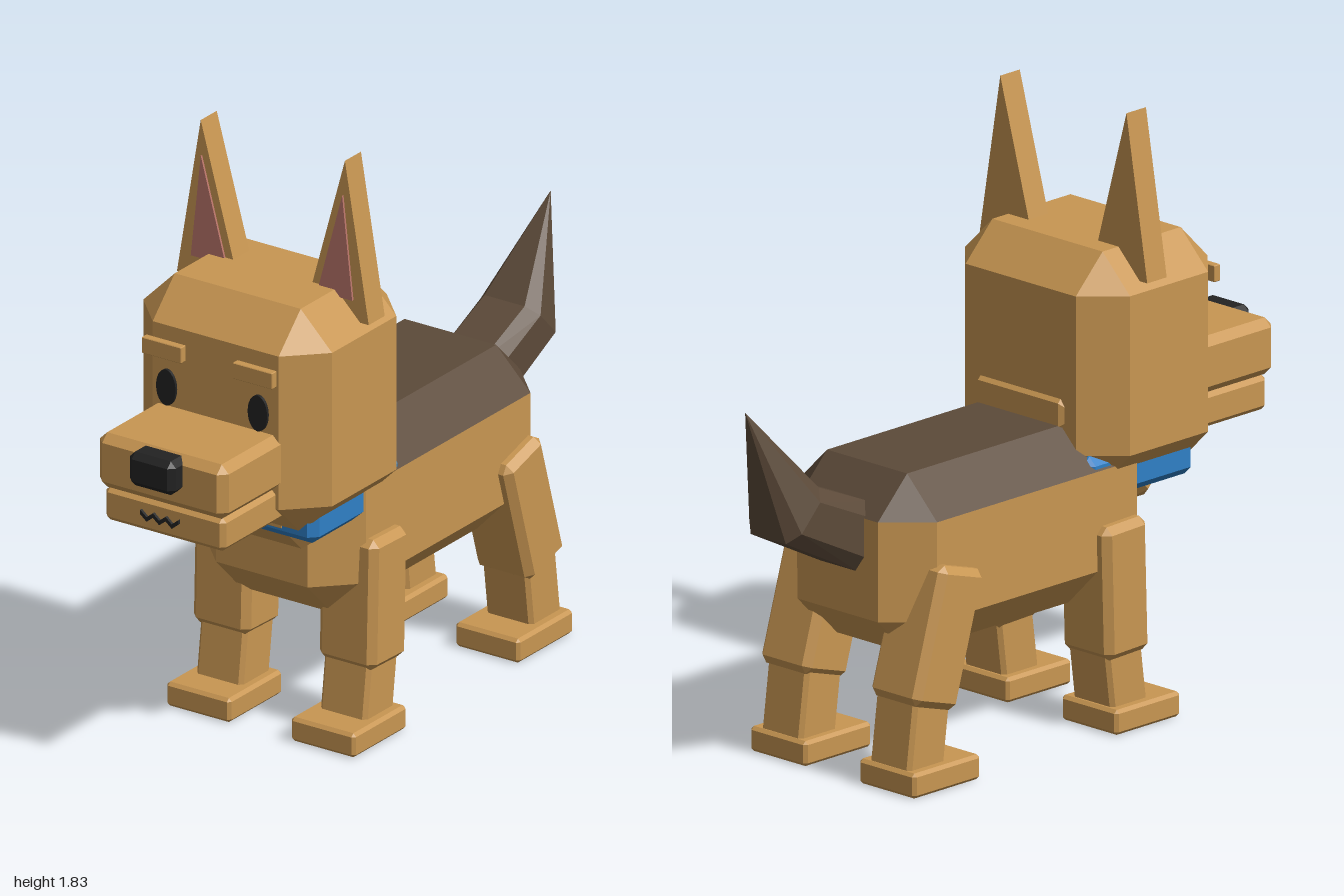
import * as THREE from 'three';
import { ConvexGeometry } from 'three/addons/geometries/ConvexGeometry.js';

const paint = (name, color, side = THREE.FrontSide) => {
  const m = new THREE.MeshStandardMaterial({ color, side });
  m.name = name;
  return m;
};

// Corner points of a box with every edge chamfered by c
function chamferPoints(w, h, d, c) {
  const pts = [];
  const [x, y, z] = [w / 2, h / 2, d / 2];
  for (const i of [-1, 1]) for (const j of [-1, 1]) for (const k of [-1, 1]) {
    pts.push(
      new THREE.Vector3(i * x, j * (y - c), k * (z - c)),
      new THREE.Vector3(i * (x - c), j * y, k * (z - c)),
      new THREE.Vector3(i * (x - c), j * (y - c), k * z));
  }
  return pts;
}

export function createModel() {
  const dog = new THREE.Group();
  dog.name = 'dog';
  const fur = paint('tanFur', 0xc89652);
  const saddle = paint('darkBrownFur', 0x5c4a39);
  const blue = paint('collarBlue', 0x2f80c6);
  const pink = paint('innerEarPink', 0xbb766b);
  const black = paint('black', 0x222222);

  const add = (name, geometry, material, x = 0, y = 0, z = 0, tilt = 0) => {
    const mesh = new THREE.Mesh(geometry, material);
    mesh.name = name;
    mesh.position.set(x, y, z);
    mesh.rotation.x = tilt;
    dog.add(mesh);
    return mesh;
  };
  // Chamfered block given by its ranges in x, y and z
  const block = (name, mat, [x0, x1], [y0, y1], [z0, z1], c, tilt = 0) =>
    add(name, new ConvexGeometry(chamferPoints(x1 - x0, y1 - y0, z1 - z0, c)), mat,
      (x0 + x1) / 2, (y0 + y1) / 2, (z0 + z1) / 2, tilt);

  // Body: tan below, dark saddle on the sloped top
  const bodyPts = chamferPoints(0.56, 0.54, 1.06, 0.12);
  const waist = 0.27 - 0.12;
  add('body', new ConvexGeometry(bodyPts.filter(p => p.y < waist + 0.001)), fur, 0, 0.64, -0.09);
  add('saddle', new ConvexGeometry(bodyPts.filter(p => p.y > waist - 0.001)), saddle, 0, 0.64, -0.09);

  // Neck and collar
  add('neck', new ConvexGeometry(chamferPoints(0.42, 0.24, 0.5, 0.05)), fur, 0, 0.85, 0.345, Math.PI / 4);
  block('collar', blue, [-0.275, 0.275], [0.69, 0.83], [0.13, 0.57], 0.025);

  // Head
  block('head', fur, [-0.33, 0.33], [0.72, 1.42], [0.13, 0.67], 0.11);
  block('snout', fur, [-0.225, 0.225], [0.89, 1.06], [0.55, 0.95], 0.025);
  block('jaw', fur, [-0.21, 0.21], [0.785, 0.89], [0.55, 0.93], 0.015);
  block('nose', black, [-0.08, 0.08], [0.95, 1.055], [0.91, 1], 0.018);

  // Mouth: thin zigzag ribbon
  const upper = [], lower = [];
  for (let i = 0; i <= 6; i++) {
    const x = -0.066 + i * 0.022;
    const y = i % 2 ? 0.836 : 0.854;
    upper.push(new THREE.Vector2(x, y + 0.007));
    lower.unshift(new THREE.Vector2(x, y - 0.007));
  }
  add('mouth', new THREE.ExtrudeGeometry(new THREE.Shape([...upper, ...lower]),
    { depth: 0.009, bevelEnabled: false }), black, 0, 0, 0.943);

  const prism = (points, depth) => new THREE.ExtrudeGeometry(
    new THREE.Shape(points.map(p => new THREE.Vector2(...p))), { depth, bevelEnabled: false });

  for (const s of [1, -1]) {
    const side = s > 0 ? 'left' : 'right';
    const span = (a, b) => (s > 0 ? [a, b] : [-b, -a]);
    const mirror = pts => pts.map(([x, y]) => [x * s, y]);

    // Eyes and brows
    const eye = new THREE.CylinderGeometry(1, 1, 0.009, 24);
    eye.rotateX(Math.PI / 2);
    eye.scale(0.034, 0.056, 1);
    add(side + 'Eye', eye, black, s * 0.16, 1.125, 0.686);
    block(side + 'Brow', fur, span(0.09, 0.228), [1.225, 1.275], [0.69, 0.715], 0.002);

    // Ears with pink inner plates
    add(side + 'Ear', prism(mirror([[0.335, 1.335], [0.252, 1.828], [0.115, 1.335]]), 0.08),
      fur, 0, 0, 0.305);
    add(side + 'InnerEar', prism(mirror([[0.282, 1.4], [0.247, 1.72], [0.16, 1.4]]), 0.008),
      pink, 0, 0, 0.384);

    // Front leg
    block(side + 'FrontUpperLeg', fur, span(0.12, 0.32), [0.222, 0.625], [0.16, 0.338], 0.022, -0.03);
    block(side + 'FrontLowerLeg', fur, span(0.135, 0.298), [0.05, 0.25], [0.192, 0.338], 0.012, -0.13);
    block(side + 'FrontPaw', fur, span(0.105, 0.33), [0, 0.075], [0.185, 0.45], 0.01);

    // Hind leg
    block(side + 'HindUpperLeg', fur, span(0.12, 0.32), [0.235, 0.65], [-0.573, -0.387], 0.022, 0.29);
    block(side + 'HindLowerLeg', fur, span(0.135, 0.298), [0.05, 0.28], [-0.62, -0.47], 0.012, 0.13);
    block(side + 'HindPaw', fur, span(0.105, 0.33), [0, 0.075], [-0.645, -0.37], 0.01);
  }

  // Tail: six-sided sections, bent upward to a point
  const section = ([zt, yt], [zb, yb]) => {
    const ring = [];
    for (const s of [-1, 1]) for (const [t, w] of [[0, 0.07], [0.22, 0.105], [0.78, 0.105], [1, 0.07]]) {
      ring.push(new THREE.Vector3(s * w, yt + (yb - yt) * t, zt + (zb - zt) * t));
    }
    return ring;
  };
  const root = section([-0.56, 0.82], [-0.61, 0.62]);
  const bend = section([-0.77, 0.91], [-0.905, 0.77]);
  add('tailBase', new ConvexGeometry([...root, ...bend]), saddle);
  add('tailTip', new ConvexGeometry([...bend, new THREE.Vector3(0, 1.172, -1)]), saddle);

  return dog;
}
